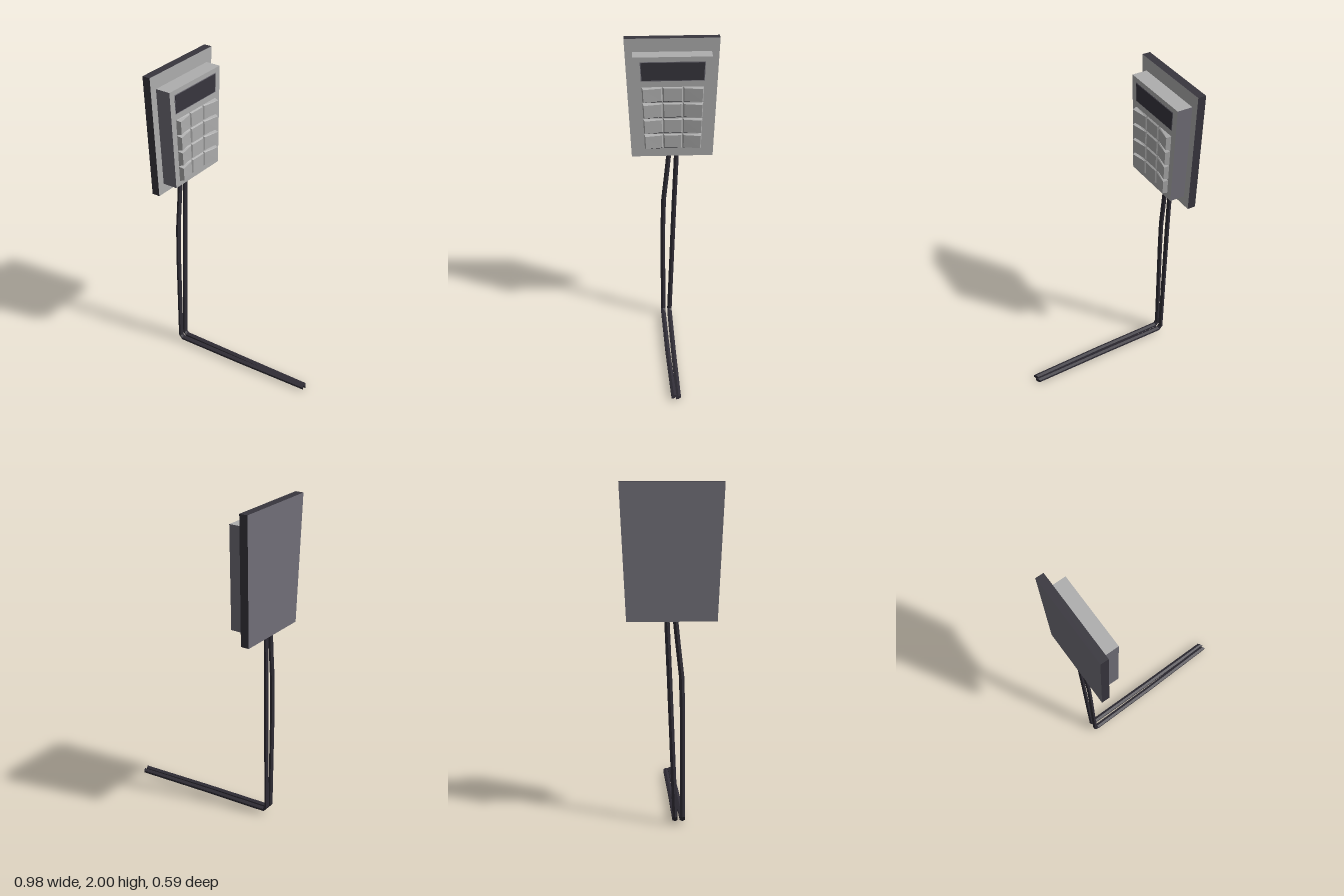
import * as THREE from 'three';

const flat = (name, color) => {
  const m = new THREE.MeshStandardMaterial({ color });
  m.name = name;
  return m;
};

// Block facing +x. Each section is four [x, y, z] corners:
// top +z, top -z, bottom -z, bottom +z. mats: front, top, -z side, bottom, +z side, back.
function block(name, back, front, mats) {
  const quads = [front];
  for (let i = 0; i < 4; i++) {
    const j = (i + 1) % 4;
    quads.push([front[j], front[i], back[i], back[j]]);
  }
  quads.push([...back].reverse());
  const pos = [];
  const geo = new THREE.BufferGeometry();
  quads.forEach(([a, b, c, d], i) => {
    pos.push(...a, ...c, ...b, ...a, ...d, ...c);
    geo.addGroup(i * 6, 6, i);
  });
  geo.setAttribute('position', new THREE.Float32BufferAttribute(pos, 3));
  geo.computeVertexNormals();
  const mesh = new THREE.Mesh(geo, mats);
  mesh.name = name;
  return mesh;
}

// Upright trapezoid section at depth x
const section = (x, yTop, yBot, halfTop, halfBot) => [
  [x, yTop, halfTop], [x, yTop, -halfTop], [x, yBot, -halfBot], [x, yBot, halfBot],
];

// Faceted wire swept along a path that lies close to the xy plane
function wire(name, path, material) {
  const sides = 6, r = 0.0175;
  const pts = path.map((p) => new THREE.Vector3(...p));
  const last = pts.length - 1;
  const rings = pts.map((p, i) => {
    const t = pts[Math.min(i + 1, last)].clone().sub(pts[Math.max(i - 1, 0)]).normalize();
    const n = new THREE.Vector3(-t.y, t.x, 0).normalize();
    return Array.from({ length: sides }, (_, k) => {
      const a = (k / sides) * Math.PI * 2;
      const v = p.clone().addScaledVector(n, Math.cos(a) * r * 0.75);
      v.z += Math.sin(a) * r;
      if (i === last) v.x += Math.sin(a) * 0.01; // slanted cut
      return v;
    });
  });
  const pos = [];
  const tri = (...vs) => vs.forEach((v) => pos.push(v.x, v.y, v.z));
  for (let i = 0; i < last; i++) {
    for (let k = 0; k < sides; k++) {
      const j = (k + 1) % sides;
      const a = rings[i][k], b = rings[i][j], c = rings[i + 1][j], d = rings[i + 1][k];
      tri(a, b, c);
      tri(a, c, d);
    }
  }
  for (let k = 0; k < sides; k++) {
    const j = (k + 1) % sides;
    tri(pts[0], rings[0][j], rings[0][k]);
    tri(pts[last], rings[last][k], rings[last][j]);
  }
  const geo = new THREE.BufferGeometry();
  geo.setAttribute('position', new THREE.Float32BufferAttribute(pos, 3));
  geo.computeVertexNormals();
  const mesh = new THREE.Mesh(geo, material);
  mesh.name = name;
  return mesh;
}

export function createModel() {
  const light = flat('light grey', 0xaeaeae);
  const mid = flat('mid grey', 0x716f78);
  const dark = flat('dark grey', 0x38363e);
  const black = flat('wire black', 0x302d36);

  const group = new THREE.Group();
  group.name = 'keypad';

  // Wall plate: light face, dark edges, mid grey back
  group.add(block('wallPlate',
    section(-0.492, 2, 1.222, 0.293, 0.257),
    section(-0.44, 2, 1.222, 0.293, 0.257),
    [light, dark, dark, dark, dark, mid]));

  // Raised housing
  group.add(block('housing',
    section(-0.44, 1.916, 1.287, 0.242, 0.211),
    section(-0.343, 1.916, 1.287, 0.242, 0.211),
    [light, light, mid, mid, mid, mid]));

  // Display window with a narrow rim
  group.add(block('displayRim',
    section(-0.343, 1.886, 1.764, 0.199, 0.194),
    section(-0.342, 1.886, 1.764, 0.199, 0.194),
    Array(6).fill(mid)));
  group.add(block('display',
    section(-0.342, 1.881, 1.769, 0.194, 0.189),
    section(-0.34, 1.881, 1.769, 0.194, 0.189),
    Array(6).fill(dark)));

  // Keys: outer columns rise towards the outside
  const keys = new THREE.Group();
  keys.name = 'keys';
  const low = -0.334, high = -0.314, bevel = 0.007;
  const columns = [
    { z0: 0.19, z1: 0.065, x0: high, x1: low },
    { z0: 0.062, z1: -0.062, x0: low, x1: low },
    { z0: -0.065, z1: -0.19, x0: low, x1: high },
  ];
  for (let row = 0; row < 4; row++) {
    const yT = 1.726 - row * 0.103, yB = yT - 0.096;
    const taper = (y) => 1 - (1.726 - y) * 0.2;
    for (const { z0, z1, x0, x1 } of columns) {
      const base = [
        [-0.343, yT, z0 * taper(yT)], [-0.343, yT, z1 * taper(yT)],
        [-0.343, yB, z1 * taper(yB)], [-0.343, yB, z0 * taper(yB)],
      ];
      const top = base.map(([, y, z], i) => {
        const isLeft = i === 0 || i === 3;
        return [isLeft ? x0 : x1, y + (i < 2 ? -bevel : bevel), z + (isLeft ? -bevel : bevel)];
      });
      keys.add(block('key', base, top, [light, light, light, dark, light, dark]));
    }
  }
  group.add(keys);

  // Two loose wires hanging down and running along the ground
  group.add(wire('leftWire', [
    [-0.463, 1.24, 0.02], [-0.463, 1.1, 0.034], [-0.464, 0.9, 0.056], [-0.466, 0.7, 0.062],
    [-0.469, 0.055, 0.064], [-0.45, 0.032, 0.063], [0, 0.027, 0.051], [0.48, 0.021, 0.03],
  ], black));
  group.add(wire('rightWire', [
    [-0.463, 1.24, -0.028], [-0.464, 0.9, -0.013], [-0.469, 0.055, 0.02],
    [-0.45, 0.032, 0.02], [0, 0.024, 0.013], [0.48, 0.014, 0.002],
  ], black));

  return group;
}
